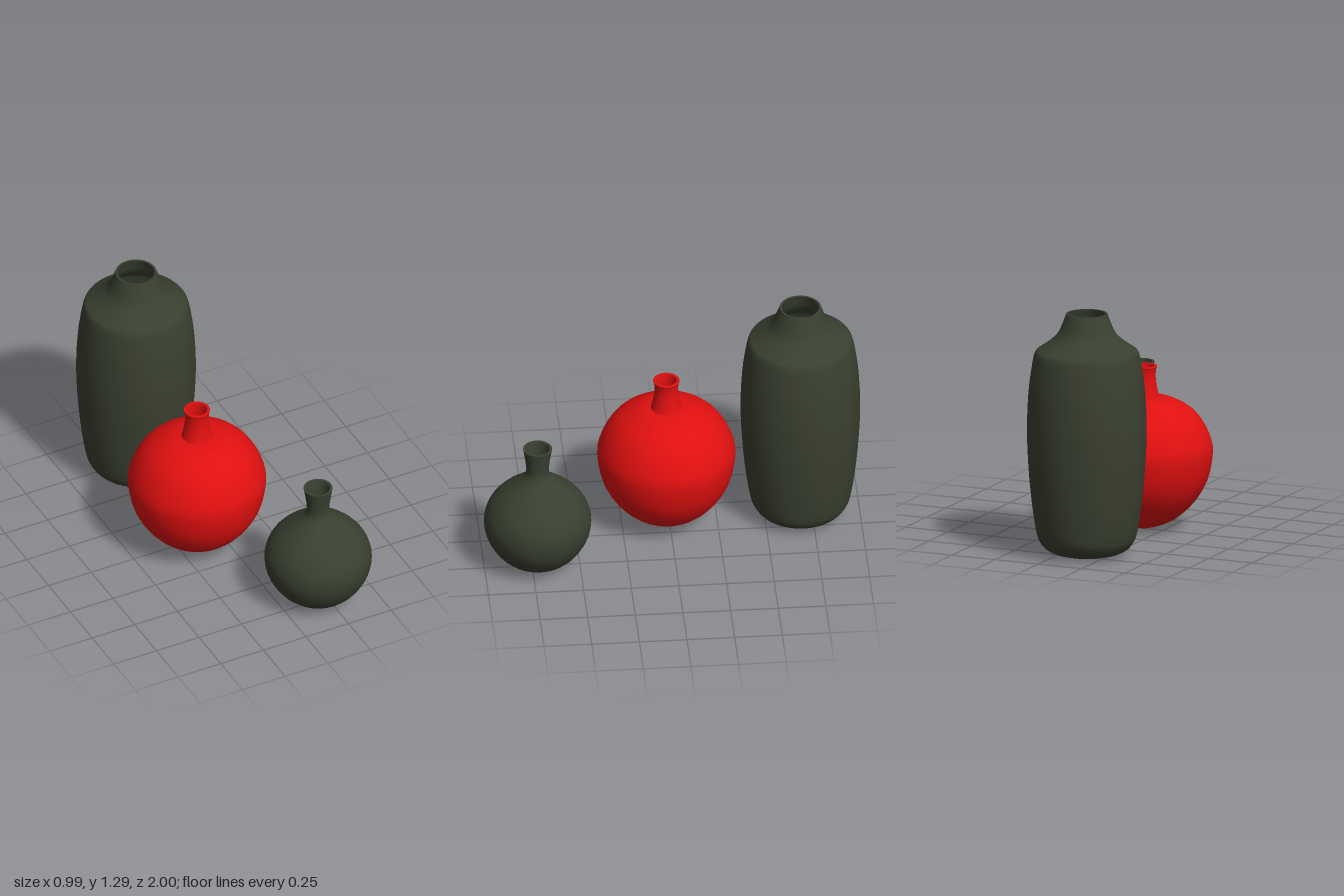
import * as THREE from 'three';

const SIDES = 72;

// Smooth curve through [radius, height] points, sampled for a lathe
function sample(points, n = 28) {
  const curve = new THREE.SplineCurve(points.map(([r, y]) => new THREE.Vector2(r, y)));
  return curve.getPoints(n).map((p) => new THREE.Vector2(Math.max(p.x, 0), p.y));
}

// A vase is a stack of lathed sections; edges between sections stay sharp
function makeVase(name, material, sections, x, z) {
  const vase = new THREE.Group();
  vase.name = name;
  for (const [part, points] of Object.entries(sections)) {
    const profile = points.length > 2
      ? sample(points)
      : points.map(([r, y]) => new THREE.Vector2(r, y));
    const mesh = new THREE.Mesh(new THREE.LatheGeometry(profile, SIDES), material);
    mesh.name = part;
    vase.add(mesh);
  }
  vase.position.set(x, 0, z);
  return vase;
}

export function createModel() {
  const green = new THREE.MeshStandardMaterial({ color: 0x3a4030 });
  green.name = 'dark olive glaze';
  const red = new THREE.MeshStandardMaterial({ color: 0xe01010 });
  red.name = 'red glaze';

  const model = new THREE.Group();
  model.name = 'vases';

  // Tall barrel vase at the back
  model.add(makeVase('tallVase', green, {
    body: [[0, 0.002], [0.13, 0.009], [0.205, 0.032], [0.246, 0.075], [0.267, 0.14], [0.292, 0.32],
      [0.308, 0.52], [0.313, 0.7], [0.304, 0.89], [0.285, 1.03], [0.274, 1.08], [0.264, 1.097]],
    shoulder: [[0.264, 1.097], [0.205, 1.138], [0.163, 1.175], [0.142, 1.207], [0.124, 1.25], [0.11, 1.289], [0.108, 1.295]],
    rim: [[0.108, 1.295], [0.097, 1.295]],
    inside: [[0.097, 1.295], [0.112, 1.25], [0.13, 1.2], [0.19, 1.125], [0.255, 1.08], [0.295, 0.85],
      [0.298, 0.6], [0.255, 0.16], [0.19, 0.05], [0, 0.025]],
  }, -0.135, -0.69));

  // Round red vase in the middle
  model.add(makeVase('roundVase', red, {
    body: [[0, 0.004], [0.063, 0.014], [0.166, 0.058], [0.265, 0.147], [0.335, 0.267], [0.361, 0.4],
      [0.352, 0.478], [0.31, 0.57], [0.25, 0.639], [0.166, 0.687], [0.12, 0.7], [0.081, 0.705]],
    neck: [[0.081, 0.705], [0.072, 0.74], [0.064, 0.79], [0.062, 0.825], [0.065, 0.858], [0.069, 0.868], [0.068, 0.873]],
    rim: [[0.068, 0.873], [0.053, 0.873]],
    inside: [[0.053, 0.873], [0.049, 0.82], [0.058, 0.73], [0.08, 0.69], [0.16, 0.67], [0.24, 0.625],
      [0.335, 0.48], [0.344, 0.4], [0.32, 0.28], [0.25, 0.16], [0.15, 0.07], [0, 0.022]],
  }, -0.136, 0.013));

  // Small bottle vase in front
  model.add(makeVase('smallVase', green, {
    body: [[0, 0.004], [0.08, 0.017], [0.17, 0.05], [0.235, 0.122], [0.27, 0.195], [0.281, 0.265],
      [0.272, 0.325], [0.242, 0.388], [0.185, 0.45], [0.105, 0.515], [0.075, 0.543], [0.061, 0.57],
      [0.06, 0.61], [0.068, 0.67], [0.076, 0.718]],
    rim: [[0.076, 0.718], [0.062, 0.718]],
    inside: [[0.062, 0.718], [0.052, 0.66], [0.046, 0.59], [0.06, 0.535], [0.1, 0.495], [0.18, 0.43],
      [0.255, 0.325], [0.265, 0.265], [0.22, 0.13], [0.15, 0.06], [0, 0.022]],
  }, 0.215, 0.718));

  return model;
}
